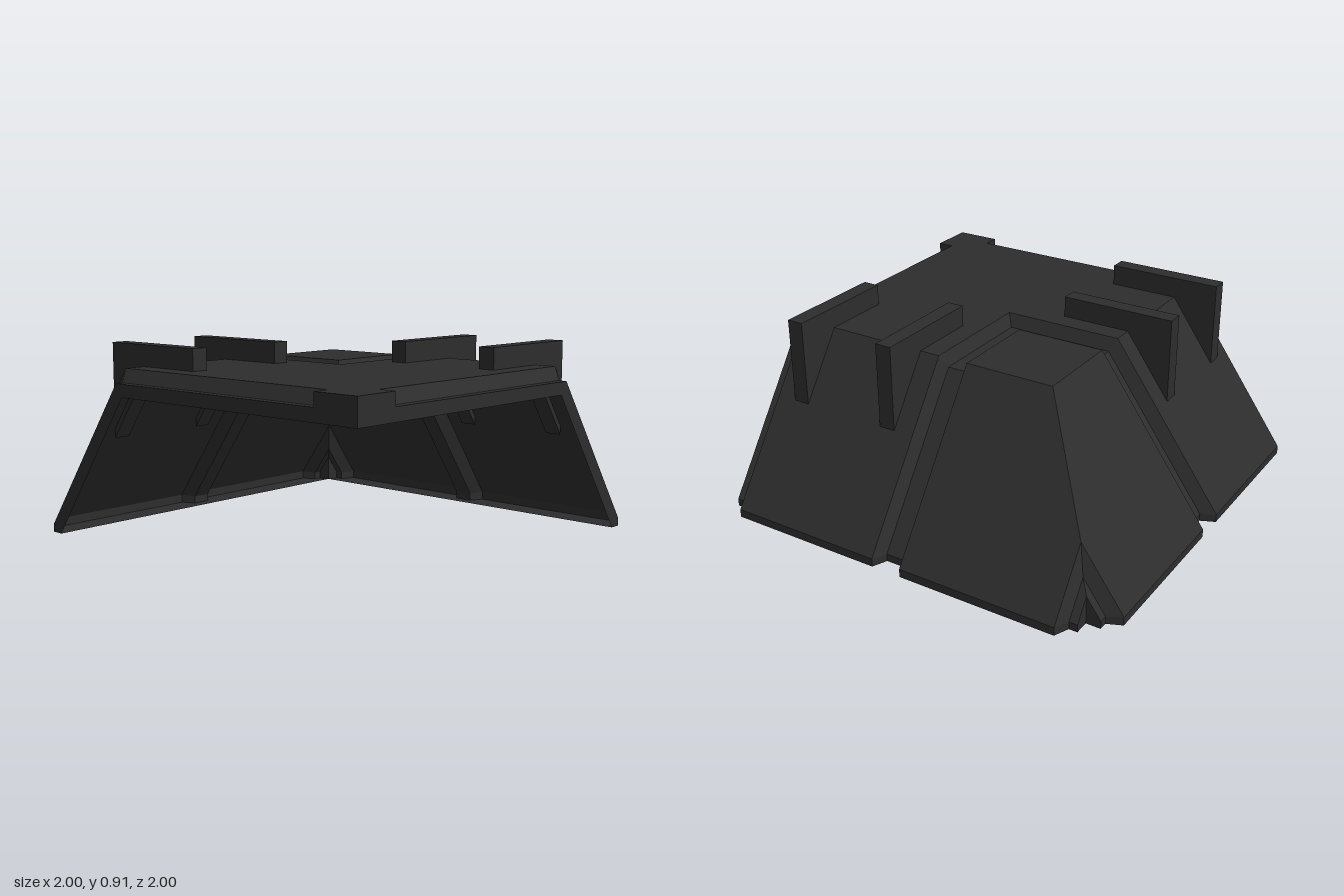
import * as THREE from 'three';

// Cross-sections of the slab: [crease, eave, foot, inner foot] in x, y
const RAISED = [[0.45, 0.81], [1, 0.04], [1, 0], [0.87, 0]];
const SUNK = [[0.42, 0.75], [0.93, 0.036], [0.93, 0], [0.87, 0]];

// Section at depth z, starting on the mitre line x = -z (or at minX)
function section(profile, z, minX = -9) {
  const [crease, eave] = profile;
  const height = (x) => x <= crease[0] ? crease[1]
    : crease[1] + (eave[1] - crease[1]) * (x - crease[0]) / (eave[0] - crease[0]);
  const start = Math.max(-z, minX);
  const bend = Math.max(start, crease[0]);
  return [[start, height(start)], [bend, height(bend)], ...profile.slice(1)]
    .map(([x, y]) => [x, y, z]);
}

// Quads joining two sections
function strip(a, b) {
  const quads = [];
  for (let i = 0; i < a.length - 1; i++) quads.push([a[i], b[i], b[i + 1], a[i + 1]]);
  return quads;
}

// Mesh from quads plus their reflection across the diagonal x = -z
function mirroredMesh(name, quads, material) {
  const pos = [];
  const add = ([a, b, c, d]) => pos.push(...a, ...b, ...c, ...a, ...c, ...d);
  for (const q of quads) {
    add(q);
    add(q.map(([x, y, z]) => [-z, y, -x]).reverse());
  }
  const geometry = new THREE.BufferGeometry();
  geometry.setAttribute('position', new THREE.Float32BufferAttribute(pos, 3));
  geometry.computeVertexNormals();
  const mesh = new THREE.Mesh(geometry, material);
  mesh.name = name;
  return mesh;
}

export function createModel() {
  const group = new THREE.Group();
  group.name = 'cornerRoof';
  const charcoal = new THREE.MeshStandardMaterial({ color: 0x2d2d2d, side: THREE.DoubleSide, flatShading: true });
  charcoal.name = 'charcoal';
  const up = (z, minX) => section(RAISED, z, minX);
  const low = (z, minX) => section(SUNK, z, minX);
  const add = (name, quads) => group.add(mirroredMesh(name, quads, charcoal));

  // Raised plates on both sides of the L-shaped groove
  add('innerPlate', [...strip(up(-0.79), up(-0.45)), ...strip(up(-0.45), up(-0.01))]);
  add('outerPlate', [
    ...strip(up(0.14), up(0.92)),
    [[-0.92, 0.81, 0.92], [-1, 0.81, 1], [-0.78, 0.81, 1], [-0.78, 0.81, 0.92]],
  ]);

  // Bevelled groove
  add('groove', [
    ...strip(up(-0.01), low(0.02)), ...strip(low(0.02), low(0.11)), ...strip(low(0.11), up(0.14)),
  ]);

  // Stepped edge with its stop at the square corner
  add('edgeStep', [
    ...strip(up(0.92, -0.78), low(0.96, -0.78)), ...strip(low(0.96, -0.78), low(1, -0.78)),
    [[-0.78, 0.81, 0.92], [-0.78, 0.81, 1], [-0.78, 0.75, 1], [-0.78, 0.75, 0.96]],
  ]);

  // Recessed hip corner with its notch
  add('hipNotch', [
    ...strip(low(-0.86), low(-0.82)), ...strip(low(-0.82), up(-0.79)),
    [[0.86, 0.134, -0.86], [0.93, 0.036, -0.86], [0.93, 0, -0.86], [0.86, 0, -0.86]],
  ]);

  // Side rim closing the slab edge
  const face = (...pts) => pts.map(([x, y]) => [x, y, 1]);
  add('sideRim', [
    face([-1, 0.81], [-1, 0.69], [-0.78, 0.69], [-0.78, 0.81]),
    face([-0.78, 0.75], [-0.78, 0.69], [0.38, 0.69], [0.42, 0.75]),
    face([0.42, 0.75], [0.38, 0.69], [0.87, 0], [0.93, 0.036]),
    face([0.93, 0.036], [0.87, 0], [0.93, 0], [0.93, 0.036]),
  ]);

  // Upright fins straddling the creases
  const outline = new THREE.Shape([[0.11, 0.77], [0.449, 0.77], [0.67, 0.46], [0.67, 0.91], [0.11, 0.91]]
    .map(([x, y]) => new THREE.Vector2(x, y)));
  const finGeometry = new THREE.ExtrudeGeometry(outline, { depth: 0.08, bevelEnabled: false });
  finGeometry.translate(0, 0, -0.04);
  for (const offset of [0.28, 0.78]) {
    const rightFin = new THREE.Mesh(finGeometry, charcoal);
    rightFin.name = 'sideFin';
    rightFin.position.z = offset;
    const backFin = new THREE.Mesh(finGeometry, charcoal);
    backFin.name = 'backFin';
    backFin.rotation.y = Math.PI / 2;
    backFin.position.x = -offset;
    group.add(rightFin, backFin);
  }
  return group;
}
